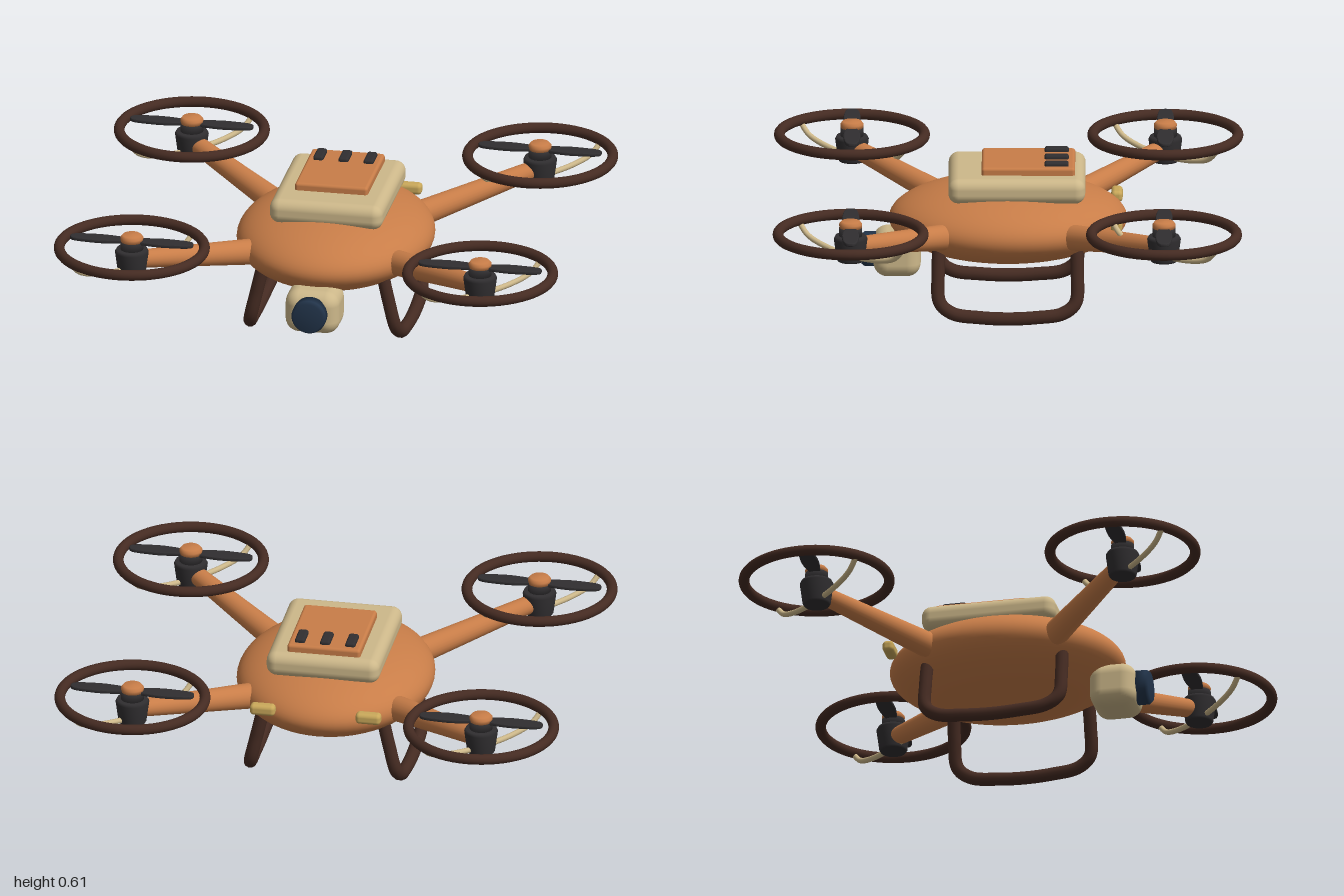
import * as THREE from 'three';
import { RoundedBoxGeometry } from 'three/addons/geometries/RoundedBoxGeometry.js';

const mat = (name, color) => {
  const m = new THREE.MeshStandardMaterial({ color });
  m.name = name;
  return m;
};
const V = (x, y, z) => new THREE.Vector3(x, y, z);

export function createModel() {
  const orange = mat('copper orange', 0xc87d48);
  const cream = mat('cream', 0xcdb88a);
  const brown = mat('dark brown', 0x452b22);
  const charcoal = mat('charcoal', 0x302e30);
  const navy = mat('lens navy', 0x22344a);
  const brass = mat('lamp yellow', 0xc9a85a);

  const model = new THREE.Group();
  model.name = 'quadcopter';

  const add = (parent, name, geo, material, x = 0, y = 0, z = 0) => {
    const mesh = new THREE.Mesh(geo, material);
    mesh.name = name;
    mesh.position.set(x, y, z);
    parent.add(mesh);
    return mesh;
  };
  const box = (w, h, d, r) => new RoundedBoxGeometry(w, h, d, 4, r);
  const lathe = (pts, n = 32) => new THREE.LatheGeometry(pts.map(p => new THREE.Vector2(...p)), n);
  const tube = (pts, n, r) => new THREE.TubeGeometry(new THREE.CatmullRomCurve3(pts), n, r, 12);

  // Tapered rod between two points
  const rod = (parent, name, a, b, ra, rb, material) => {
    const mesh = add(parent, name, new THREE.CylinderGeometry(rb, ra, a.distanceTo(b), 24), material);
    mesh.position.copy(a).lerp(b, 0.5);
    mesh.quaternion.setFromUnitVectors(V(0, 1, 0), b.clone().sub(a).normalize());
  };

  // Hull, battery saddle and hatch
  const hull = add(model, 'hull', new THREE.SphereGeometry(1, 56, 36), orange, 0, 0.355, 0);
  hull.scale.set(0.385, 0.155, 0.465);
  add(model, 'saddle', box(0.45, 0.1, 0.535, 0.04), cream, 0, 0.515, -0.035);
  add(model, 'hatch', box(0.29, 0.05, 0.365, 0.012), orange, 0, 0.57, -0.08);
  for (const x of [-0.1, 0, 0.1])
    add(model, 'hatchSlot', box(0.04, 0.025, 0.095, 0.01), charcoal, x, 0.598, -0.19);

  // Camera under the nose
  add(model, 'cameraHousing', box(0.215, 0.175, 0.185, 0.055), cream, 0, 0.218, 0.433);
  const lens = add(model, 'cameraLens',
    lathe([[0, 0], [0.068, 0], [0.068, 0.045], [0.058, 0.058], [0, 0.058]], 40), navy, 0, 0.225, 0.515);
  lens.rotation.x = Math.PI / 2;

  // Propeller blade outline along +x
  const outline = new THREE.Shape();
  outline.moveTo(0, -0.014);
  outline.bezierCurveTo(0.06, -0.024, 0.1, -0.036, 0.16, -0.03);
  outline.bezierCurveTo(0.23, -0.026, 0.243, -0.02, 0.243, 0);
  outline.bezierCurveTo(0.243, 0.02, 0.23, 0.026, 0.16, 0.03);
  outline.bezierCurveTo(0.1, 0.036, 0.06, 0.024, 0, 0.014);
  const bladeGeo = new THREE.ExtrudeGeometry(outline, {
    depth: 0.006, bevelThickness: 0.004, bevelSize: 0.004, bevelOffset: -0.002, bevelSegments: 2, curveSegments: 10,
  });
  bladeGeo.rotateX(-Math.PI / 2);

  const ringGeo = new THREE.TorusGeometry(0.284, 0.021, 14, 64).rotateX(Math.PI / 2);
  const motorGeo = lathe([[0, 0.38], [0.05, 0.38], [0.055, 0.388], [0.066, 0.47], [0.06, 0.482], [0, 0.482]]);
  const hubGeo = lathe([[0, 0.47], [0.045, 0.47], [0.045, 0.515], [0, 0.515]]);
  const capGeo = lathe([[0, 0.512], [0.044, 0.512], [0.045, 0.53], [0.036, 0.541], [0, 0.543]]);
  const strutGeo = tube([[-0.2, 0.475], [-0.17, 0.437], [-0.11, 0.412], [0, 0.4], [0.11, 0.412], [0.17, 0.437], [0.2, 0.475]]
    .map(([s, y]) => V(s, y, -s)), 48, 0.011);

  // Four arms with motor, propeller and guard
  for (const sx of [-1, 1]) for (const sz of [-1, 1]) {
    rod(model, 'arm', V(sx * 0.24, 0.346, sz * 0.212), V(sx * 0.685, 0.436, sz * 0.606), 0.053, 0.035, orange);
    const rotor = new THREE.Group();
    rotor.name = 'rotor';
    rotor.position.set(sx * 0.693, 0, sz * 0.612);
    model.add(rotor);
    add(rotor, 'motor', motorGeo, charcoal);
    add(rotor, 'hub', hubGeo, charcoal);
    add(rotor, 'hubCap', capGeo, orange);
    add(rotor, 'guardRing', ringGeo, brown, 0, 0.486, 0);
    add(rotor, 'guardStrut', strutGeo, cream);
    for (const turn of [0, Math.PI])
      add(rotor, 'propellerBlade', bladeGeo, charcoal, 0, 0.511, 0).rotation.y = turn;
  }

  // Landing skids and tail lamps
  for (const s of [-1, 1]) {
    const half = [[0.235, 0.32, 0.268], [0.262, 0.2, 0.272], [0.288, 0.09, 0.265], [0.299, 0.049, 0.215], [0.304, 0.034, 0.11]];
    const path = [...half, [0.305, 0.029, 0], ...half.slice().reverse().map(([x, y, z]) => [x, y, -z])];
    add(model, 'landingSkid', tube(path.map(([x, y, z]) => V(s * x, y, z)), 80, 0.026), brown);
    add(model, 'tailLamp', box(0.1, 0.045, 0.045, 0.016), brass, s * 0.21, 0.388, -0.425);
  }
  return model;
}
